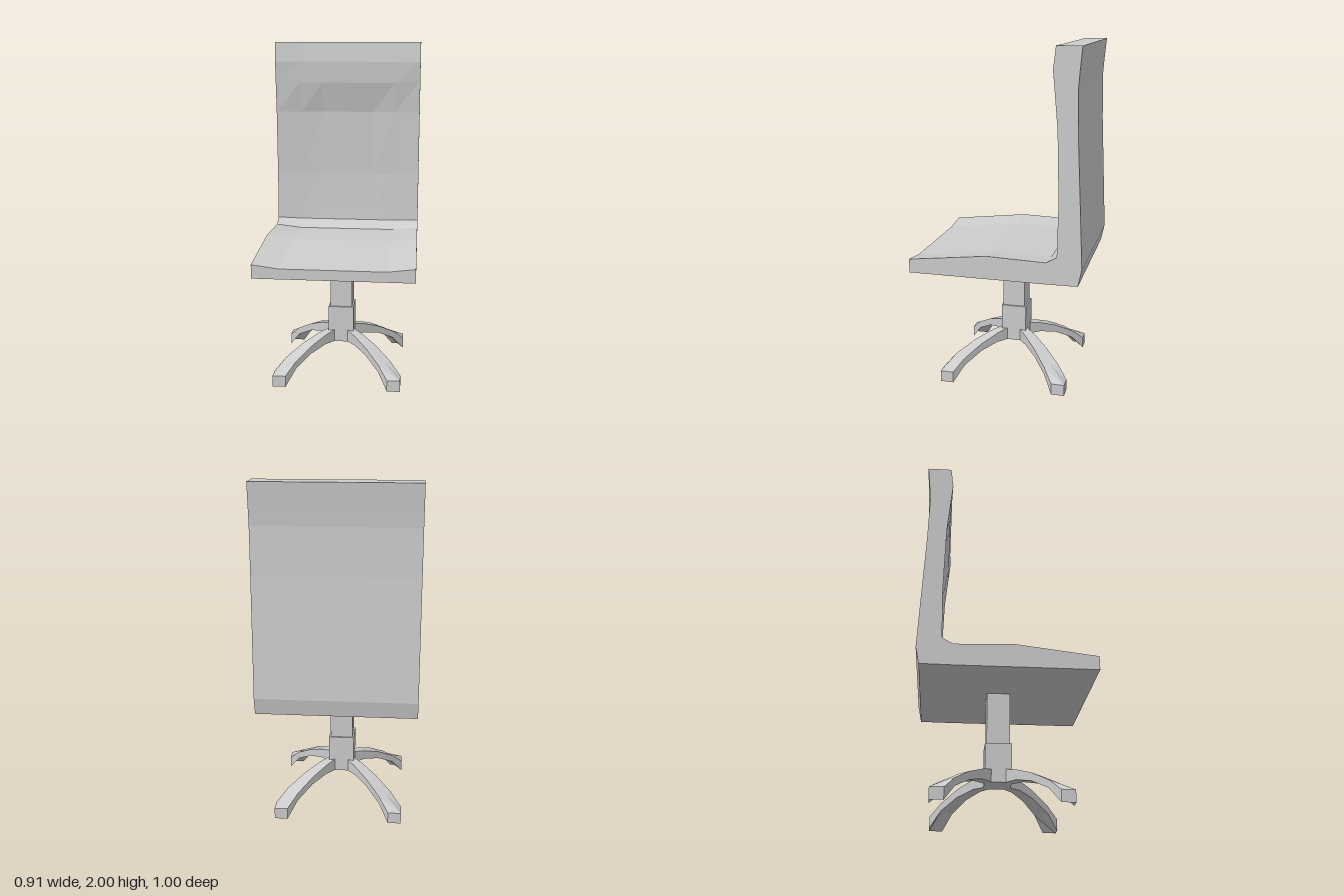
import * as THREE from 'three';

const material = new THREE.MeshStandardMaterial({ color: 0xcccccc, flatShading: true });

// Skin a row of matching closed sections (clockwise seen from the last one) and cap both ends.
function loft(rings) {
  const pos = [];
  const quad = (a, b, c, d) => [a, b, c, a, c, d].forEach((p) => pos.push(...p));
  const n = rings[0].length;
  for (let i = 0; i < rings.length - 1; i++) {
    for (let j = 0; j < n; j++) {
      const k = (j + 1) % n;
      quad(rings[i][j], rings[i + 1][j], rings[i + 1][k], rings[i][k]);
    }
  }
  const first = rings[0], last = rings[rings.length - 1];
  for (let k = 0; k < n / 2 - 1; k++) {
    quad(first[k], first[k + 1], first[n - 2 - k], first[n - 1 - k]);
    quad(last[n - 1 - k], last[n - 2 - k], last[k + 1], last[k]);
  }
  const geometry = new THREE.BufferGeometry();
  geometry.setAttribute('position', new THREE.Float32BufferAttribute(pos, 3));
  geometry.computeVertexNormals();
  return geometry;
}

function addMesh(parent, name, geometry) {
  const mesh = new THREE.Mesh(geometry, material);
  mesh.name = name;
  parent.add(mesh);
  return mesh;
}

// One-piece seat and backrest, hollowed slightly toward the middle.
function shellGeometry() {
  // sitting side [z, y, hollow dz, hollow dy, share of hollow at x = 0.3], then its outer partner [z, y]
  const rows = [
    [0.5, 0.79, 0, -0.02, 1, 0.5, 0.71],
    [0.04, 0.845, 0, -0.02, 1, 0.04, 0.71],
    [-0.3, 0.835, 0, -0.018, 1, -0.3, 0.71],
    [-0.36, 0.87, -0.008, -0.006, 1, -0.48, 0.712],
    [-0.362, 0.95, -0.012, 0, 0.8, -0.5, 0.81],
    [-0.366, 1.17, -0.018, 0, 0.6, -0.483, 1.17],
    [-0.355, 1.565, -0.025, 0, 0.45, -0.467, 1.5],
    [-0.337, 1.765, 0, -0.015, 1, -0.459, 1.77],
    [-0.326, 1.88, -0.004, 0, 1, -0.467, 1.88],
    [-0.34, 2.0, -0.005, 0, 1, -0.478, 2.0],
  ];
  const rings = [-0.457, -0.3, -0.16, 0.16, 0.3, 0.457].map((x) => {
    const depth = (share) => (Math.abs(x) > 0.4 ? 0 : Math.abs(x) > 0.2 ? share : 1);
    const inner = rows.map(([z, y, dz, dy, s]) => [x, y + dy * depth(s), z + dz * depth(s)]);
    const outer = rows.map((r) => [x, r[6], r[5]]).reverse();
    return [...inner, ...outer];
  });
  return loft(rings);
}

// Arched diagonal leg that widens outward and ends in a square foot.
function legGeometry() {
  // [distance along x and z, width, top y, bottom y]
  const steps = [
    [0.04, 0.036, 0.255, 0.18],
    [0.09, 0.045, 0.238, 0.18],
    [0.165, 0.056, 0.198, 0.152],
    [0.245, 0.068, 0.135, 0.09],
    [0.3, 0.077, 0.067, 0],
  ];
  return loft(steps.map(([t, w, top, bottom], i) => {
    const c = t + (i === steps.length - 1 ? w : w / 2);
    const plan = [[t, t + w], [c, c], [t + w, t]];
    return [
      ...plan.map(([x, z]) => [x, top, z]),
      ...plan.map(([x, z]) => [x, bottom, z]).reverse(),
    ];
  }));
}

export function createModel() {
  const chair = new THREE.Group();
  chair.name = 'swivelChair';
  addMesh(chair, 'seatAndBackrest', shellGeometry());

  // Pedestal, set a little behind the middle
  const base = new THREE.Group();
  base.name = 'base';
  base.position.z = -0.023;
  chair.add(base);
  addMesh(base, 'upperColumn', new THREE.BoxGeometry(0.134, 0.31, 0.134)).position.y = 0.56;
  addMesh(base, 'lowerColumn', new THREE.BoxGeometry(0.153, 0.225, 0.153)).position.y = 0.2925;

  // Four legs at the corners of the column
  const leg = legGeometry();
  for (let i = 0; i < 4; i++) {
    addMesh(base, `leg${i + 1}`, leg).rotation.y = (i * Math.PI) / 2;
  }
  return chair;
}
